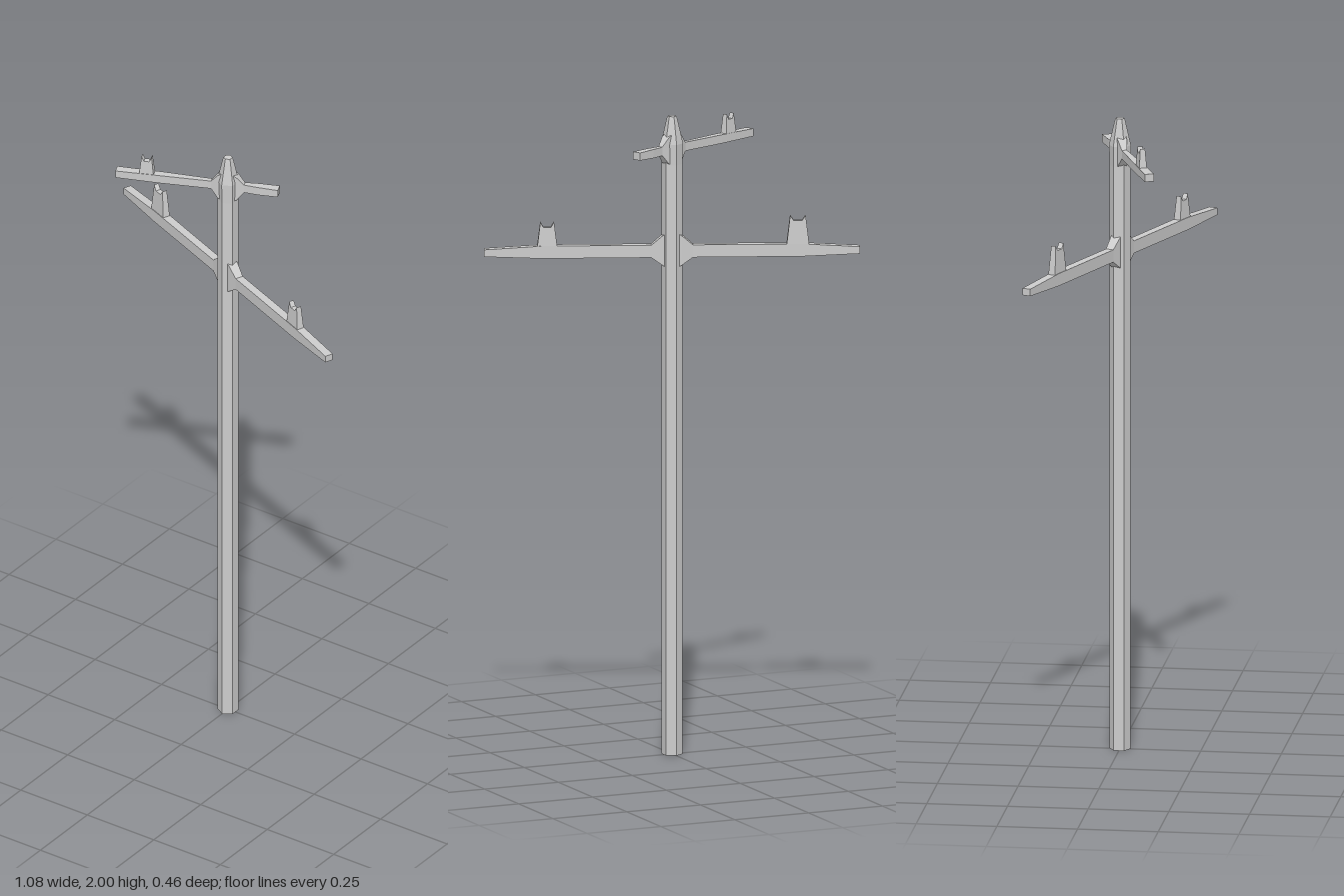
import * as THREE from 'three';

const material = new THREE.MeshStandardMaterial({ color: 0xcccccc, flatShading: true });

// Beam along +x lofted through rectangular sections [x, bottom, top, halfWidth]
function beam(sections) {
  const pos = [], index = [];
  for (const [x, b, t, w] of sections) pos.push(x, b, -w, x, t, -w, x, t, w, x, b, w);
  for (let i = 0; i < sections.length - 1; i++) {
    for (let j = 0; j < 4; j++) {
      const a = i * 4 + j, b = i * 4 + (j + 1) % 4;
      index.push(a, b, b + 4, a, b + 4, a + 4);
    }
  }
  const e = (sections.length - 1) * 4;
  index.push(e, e + 1, e + 2, e, e + 2, e + 3, 0, 2, 1, 0, 3, 2);
  const g = new THREE.BufferGeometry();
  g.setAttribute('position', new THREE.Float32BufferAttribute(pos, 3));
  g.setIndex(index);
  g.computeVertexNormals();
  return g;
}

// Upright insulator post with a notched top, narrowing upwards
function post(width, height) {
  const b = width / 2, t = b * 0.68, n = b * 0.36, depth = 0.024;
  const shape = new THREE.Shape([
    [-b, -0.004], [b, -0.004], [t, height], [n, height - 0.016], [-n, height - 0.016], [-t, height],
  ].map(([x, y]) => new THREE.Vector2(x, y)));
  const g = new THREE.ExtrudeGeometry(shape, { depth, bevelEnabled: false });
  g.translate(0, 0, -depth / 2);
  const p = g.attributes.position;
  for (let i = 0; i < p.count; i++) p.setZ(i, p.getZ(i) * (1 - 0.35 * Math.max(0, p.getY(i)) / height));
  g.computeVertexNormals();
  return g;
}

export function createModel() {
  const model = new THREE.Group();
  const add = (parent, name, geometry) => {
    const mesh = new THREE.Mesh(geometry, material);
    mesh.name = name;
    parent.add(mesh);
    return mesh;
  };

  // Six-sided pole with a tapered cap
  const profile = [[0, 0], [0.032, 0], [0.032, 1.85], [0.034, 1.915], [0.017, 1.99], [0.014, 2], [0, 2]];
  add(model, 'pole', new THREE.LatheGeometry(profile.map(([r, y]) => new THREE.Vector2(r, y)), 6));

  // Section lists start with the flared root inside the pole
  const lower = [[0.012, 1.525, 1.637, 0.016], [0.03, 1.535, 1.627, 0.016], [0.064, 1.559, 1.598, 0.013],
    [0.4, 1.559, 1.598, 0.0135], [0.578, 1.566, 1.588, 0.0135]];
  const upper = (length) => [[0.01, 1.845, 1.95, 0.016], [0.03, 1.857, 1.937, 0.014], [0.052, 1.884, 1.911, 0.008],
    [length * 0.6, 1.884, 1.911, 0.0125], [length, 1.886, 1.91, 0.0145]];

  // Each arm: name, heading, sections, post [distance, base, width, height]
  const arms = [
    ['lowerLeftArm', -0.39, lower, [0.384, 1.596, 0.062, 0.075]],
    ['lowerRightArm', Math.PI - 0.39, lower, [0.387, 1.596, 0.07, 0.09]],
    ['upperLeftArm', 0.39, upper(0.16), null],
    ['upperRightArm', Math.PI + 0.39, upper(0.352), [0.255, 1.91, 0.046, 0.06]],
  ];
  for (const [name, heading, sections, fitting] of arms) {
    const arm = new THREE.Group();
    arm.name = name;
    arm.rotation.y = heading;
    add(arm, 'crossBeam', beam(sections));
    if (fitting) {
      const [x, y, width, height] = fitting;
      add(arm, 'insulatorPost', post(width, height)).position.set(x, y, 0);
    }
    model.add(arm);
  }
  return model;
}
